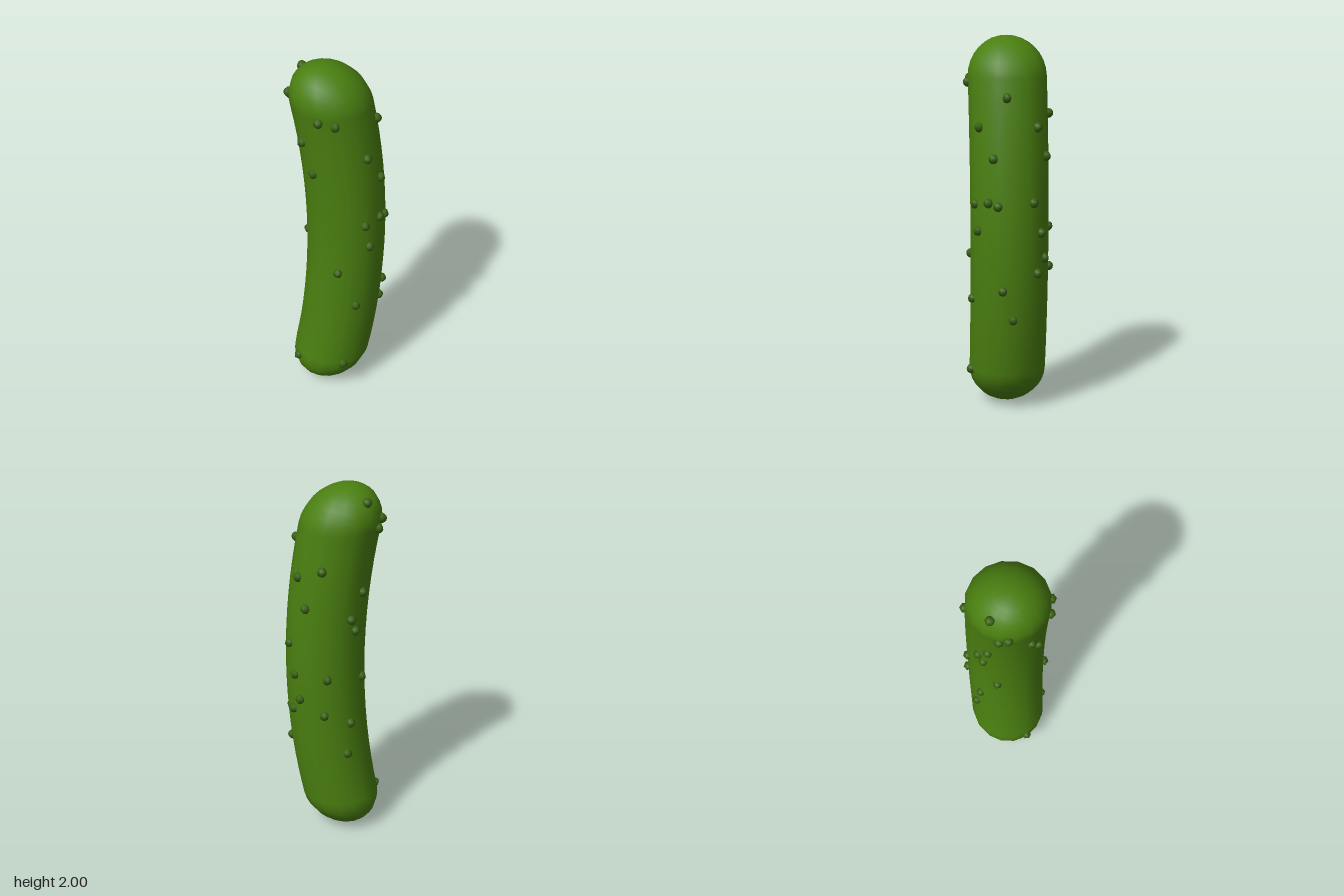
import * as THREE from 'three';

const RADIUS = 0.21;
const skin = new THREE.MeshStandardMaterial({ color: 0x4a7f10 });
skin.name = 'green skin';
const wart = new THREE.MeshStandardMaterial({ color: 0x37600f });
wart.name = 'dark green bump';

// sideways bend of the centre line at height y
const bend = (y) => 0.043 - 0.125 * (y - 1) ** 2;

// bumps as [height, angle in degrees from +x towards +z]
const BUMPS = [
  [1.775, 115], [1.76, 93], [1.695, 10], [1.6, -76], [1.54, 55], [1.54, -37],
  [1.445, 140], [1.385, 31], [1.385, -58], [1.14, 68], [1.155, 40], [1.14, 25],
  [1.155, -28], [1.0, 61], [0.99, -43], [0.99, -95], [0.845, 108], [0.85, -52],
  [0.775, -36], [0.775, -89], [0.69, 18], [0.62, 77], [0.53, 3], [0.53, -118],
  [0.205, 79], [1.935, -134], [1.83, -170], [1.79, -158], [1.61, 155],
  [1.46, -144], [1.32, -128], [1.25, -137], [0.95, -158], [0.71, -129], [0.18, 158],
];

export function createModel() {
  const group = new THREE.Group();
  group.name = 'pickle';

  // body: a capsule bent along a parabola
  const geo = new THREE.CapsuleGeometry(RADIUS, 2 - 2 * RADIUS, 8, 16, 16);
  geo.translate(0, 1, 0);
  const pos = geo.attributes.position;
  const nor = geo.attributes.normal;
  for (let i = 0; i < pos.count; i++) {
    const y = pos.getY(i);
    pos.setX(i, pos.getX(i) + bend(y));
    // matching tilt of the smooth normal
    const n = new THREE.Vector3().fromBufferAttribute(nor, i);
    n.y += 0.25 * (y - 1) * n.x;
    n.normalize();
    nor.setXYZ(i, n.x, n.y, n.z);
  }
  const body = new THREE.Mesh(geo, skin);
  body.name = 'body';
  group.add(body);

  // bumps scattered over the skin
  const bumps = new THREE.Group();
  bumps.name = 'bumps';
  const bumpGeo = new THREE.SphereGeometry(0.026, 6, 6);
  for (const [y, degrees] of BUMPS) {
    const a = THREE.MathUtils.degToRad(degrees);
    const intoCap = Math.max(0, Math.abs(y - 1) - (1 - RADIUS));
    const r = Math.sqrt(RADIUS ** 2 - intoCap ** 2);
    const bump = new THREE.Mesh(bumpGeo, wart);
    bump.name = 'bump';
    bump.position.set(bend(y) + r * Math.cos(a), y, r * Math.sin(a));
    bump.rotation.y = -a;
    bumps.add(bump);
  }
  group.add(bumps);
  return group;
}
